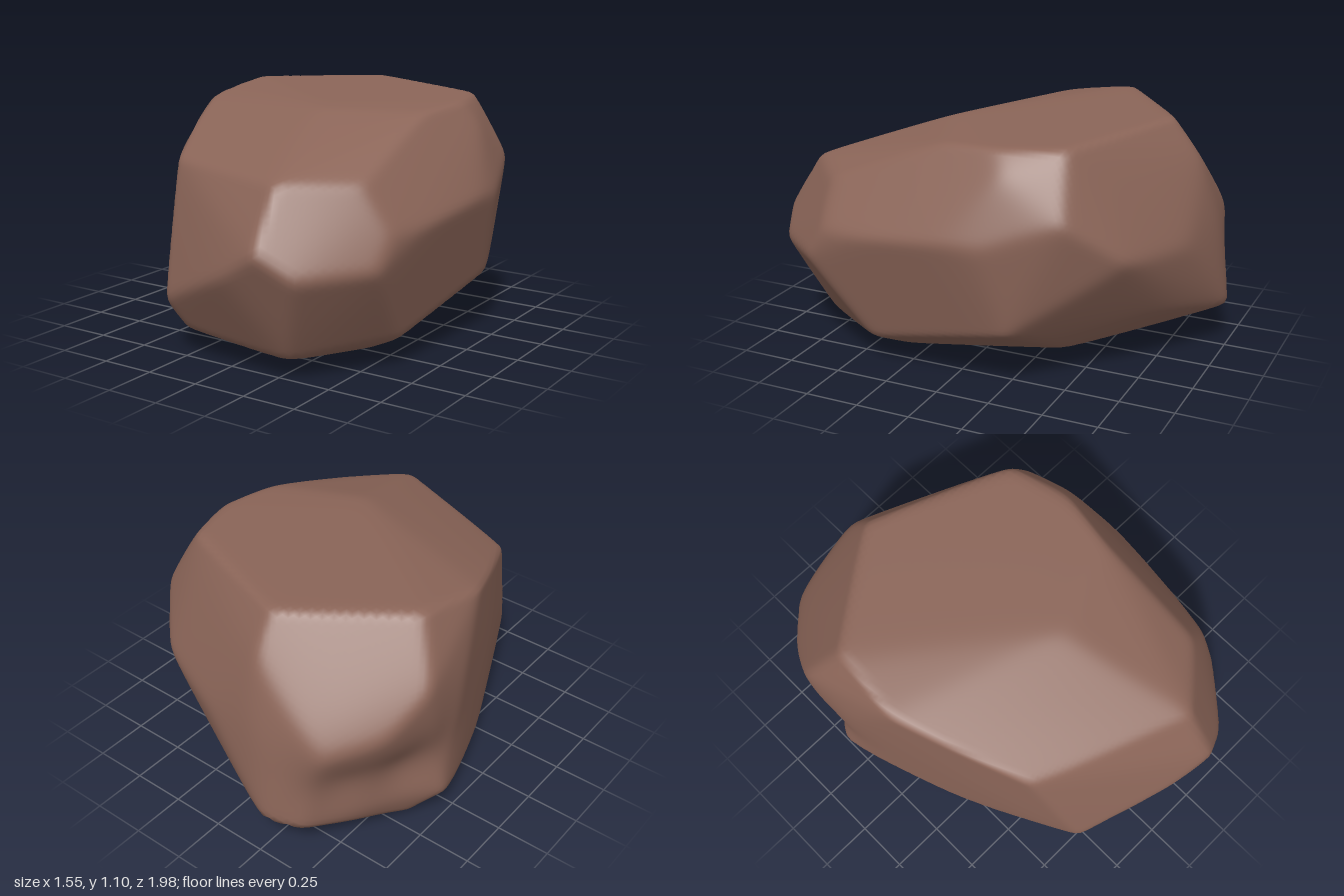
import * as THREE from 'three';
import { mergeVertices } from 'three/addons/utils/BufferGeometryUtils.js';
import { ConvexGeometry } from 'three/addons/geometries/ConvexGeometry.js';

// Corners where the broad facets of the boulder meet
const topCorners = [
  [-0.15, 1.1, -0.74], [0.5, 1.09, -0.5], [0.58, 1.08, -0.2], [0.55, 1.06, 0.05],
  [0.1, 1.07, 0.22], [-0.68, 1.04, -0.03], [-0.64, 1.1, -0.37],
];
const frontCorners = [
  [0.3, 0.86, 0.83], [-0.42, 0.84, 0.57], [0.57, 0.84, 0.6], [0.3, 0.6, 1], [0.46, 0.5, 0.94],
  [0.1, 0.46, 0.96], [-0.33, 0.26, 0.79],
];
// Left and right, as the model faces
const leftCorners = [
  [0.7, 0.66, 0.58], [0.69, 0.5, 0.67], [0.75, 0.65, 0.35], [0.78, 0.69, -0.05], [0.77, 0.69, -0.2],
  [0.66, 0.8, -0.54], [0.66, 0.98, -0.25], [0.69, 0.29, -0.3], [0.62, 0.14, 0.38],
];
const rightCorners = [
  [-0.57, 0.96, 0.25], [-0.56, 0.5, 0.3], [-0.76, 0.76, -0.22], [-0.78, 0.84, -0.5], [-0.7, 0.65, -0.71],
];
const backCorners = [
  [0.47, 0.62, -0.76], [-0.15, 0.93, -0.87], [0.1, 0.6, -0.91], [-0.2, 0.64, -0.95],
  [-0.52, 0.6, -0.91], [0.1, 0.28, -0.82], [-0.27, 0.2, -1], [-0.44, 0.17, -0.93],
];
const bottomCorners = [
  [0.32, 0.1, 0.78], [-0.25, 0.12, 0.73], [0.43, 0.04, 0.3], [-0.15, 0, 0.4], [-0.45, 0.05, 0.45],
  [-0.57, 0.06, 0.22], [-0.63, 0.02, -0.44], [-0.79, 0.16, -0.37], [0.35, 0.13, -0.45],
];
const corners = [topCorners, frontCorners, leftCorners, rightCorners, backCorners, bottomCorners].flat();
const centre = new THREE.Vector3(0, 0.55, 0);

// Facet planes scaled so that a point on a facet gives 1
function facetPlanes() {
  const points = corners.map((p) => new THREE.Vector3(...p).sub(centre));
  const pos = new ConvexGeometry(points).attributes.position;
  const planes = [];
  for (let i = 0; i < pos.count; i += 3) {
    const [a, b, c] = [0, 1, 2].map((k) => new THREE.Vector3().fromBufferAttribute(pos, i + k));
    const n = b.clone().sub(a).cross(c.sub(a));
    if (n.length() < 1e-5) continue;
    n.normalize();
    n.divideScalar(n.dot(a));
    // Nearly coplanar facets count once
    if (!planes.some((q) => q.distanceTo(n) < 0.02)) planes.push(n);
  }
  return planes;
}

// Weathered hollows under the back right facet: position, radius, depth
const hollows = [
  [new THREE.Vector3(-0.69, 0.35, -0.53), 0.22, 0.1],
  [new THREE.Vector3(-0.52, 0.37, -0.82), 0.18, 0.06],
];
const sharpness = 95; // higher gives crisper edges
const fullness = 1.008; // makes up for the worn edges

function boulderGeometry() {
  const planes = facetPlanes();
  const ball = new THREE.IcosahedronGeometry(1, 40);
  ball.deleteAttribute('normal');
  ball.deleteAttribute('uv');
  const geometry = mergeVertices(ball, 1e-5);
  const pos = geometry.attributes.position;
  const dir = new THREE.Vector3(), p = new THREE.Vector3();
  for (let i = 0; i < pos.count; i++) {
    dir.fromBufferAttribute(pos, i).normalize();
    // Soft minimum over the planes wears the edges round
    const sum = planes.reduce((s, n) => s + Math.max(0, n.dot(dir)) ** sharpness, 0);
    p.copy(dir).multiplyScalar(fullness * sum ** (-1 / sharpness)).add(centre);
    for (const [at, radius, depth] of hollows) {
      p.addScaledVector(dir, -depth * Math.exp(-((p.distanceTo(at) / radius) ** 2)));
    }
    pos.setXYZ(i, p.x, p.y, p.z);
  }
  // Stand it on the ground
  geometry.computeBoundingBox();
  geometry.translate(0, -geometry.boundingBox.min.y, 0);
  geometry.computeVertexNormals();
  return geometry;
}

export function createModel() {
  const stone = new THREE.MeshStandardMaterial({ color: 0x8b6558 });
  stone.name = 'brownStone';
  const boulder = new THREE.Mesh(boulderGeometry(), stone);
  boulder.name = 'boulder';
  const model = new THREE.Group();
  model.name = 'rock';
  model.add(boulder);
  return model;
}
